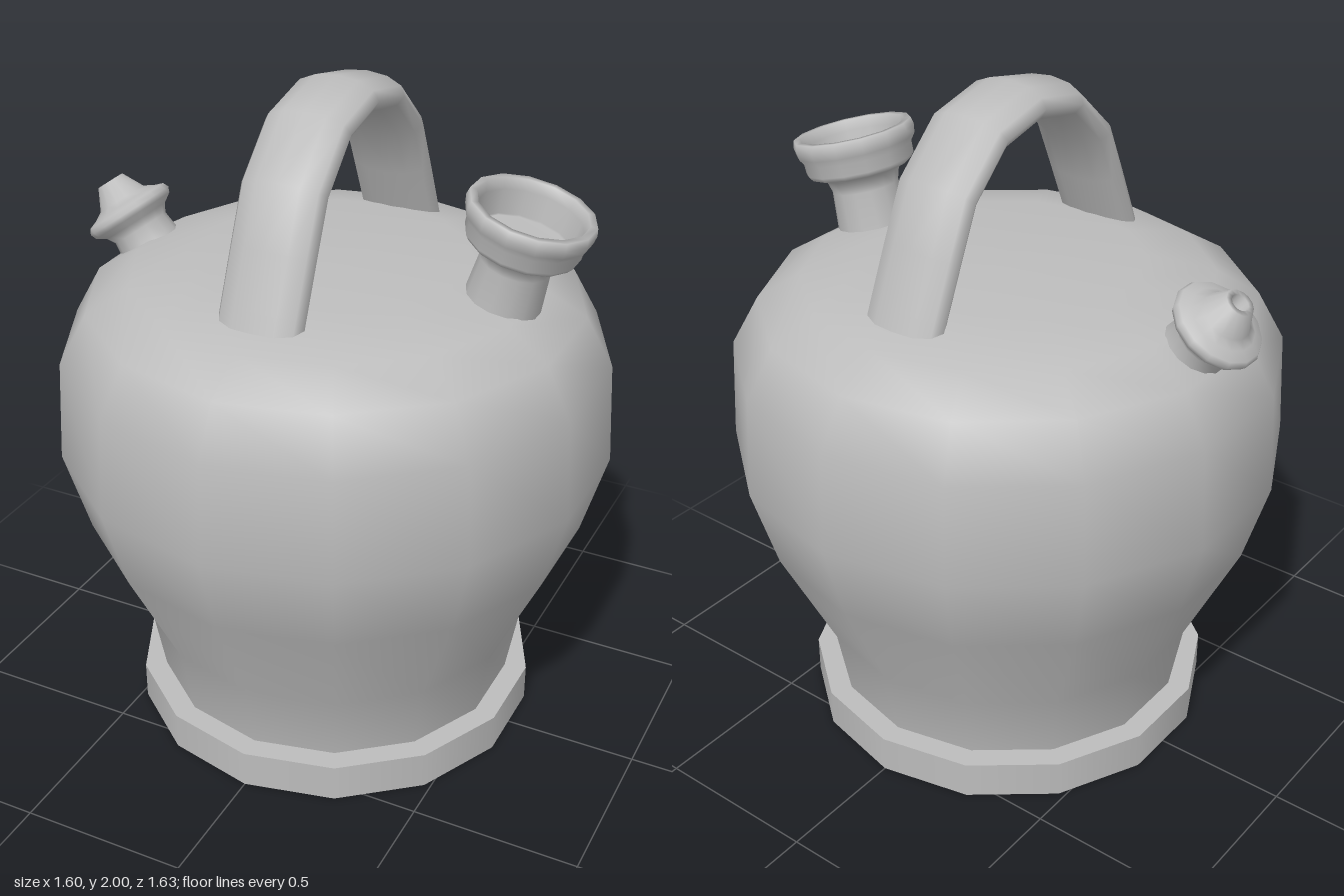
import * as THREE from 'three';

const clay = new THREE.MeshStandardMaterial({ color: 0xbcbcbc });
clay.name = 'grey clay';

const SIDES = 14;

function part(name, geometry) {
  const mesh = new THREE.Mesh(geometry, clay);
  mesh.name = name;
  return mesh;
}

// Turned shape from [radius, height] pairs, listed from the bottom up the outside
function turned(name, profile) {
  const points = profile.map(([r, y]) => new THREE.Vector2(r, y));
  return part(name, new THREE.LatheGeometry(points, SIDES));
}

export function createModel() {
  const jug = new THREE.Group();
  jug.name = 'waterJug';

  // Foot disc
  const base = part('base', new THREE.CylinderGeometry(0.615, 0.615, 0.115, SIDES));
  base.position.y = 0.0575;
  jug.add(base);

  // Bulging body with a nearly flat top
  jug.add(turned('body', [
    [0.545, 0.1], [0.585, 0.325], [0.745, 0.66], [0.817, 0.91],
    [0.8, 1.21], [0.72, 1.355], [0.595, 1.43], [0.39, 1.48], [0, 1.482],
  ]));

  // Arched handle: a flattened tube with one ring at each path point
  const half = [[0.5, 1.33], [0.437, 1.48], [0.372, 1.63], [0.305, 1.78], [0.168, 1.908]];
  const path = [
    ...half.map(([z, y]) => new THREE.Vector3(0, y, z)),
    new THREE.Vector3(0, 1.945, 0),
    ...half.map(([z, y]) => new THREE.Vector3(0, y, -z)).reverse(),
  ];
  const curve = new THREE.CatmullRomCurve3(path);
  curve.getPointAt = (u, target) => curve.getPoint(u, target);
  curve.getTangentAt = (u, target) => curve.getTangent(u, target);
  const arch = new THREE.TubeGeometry(curve, path.length - 1, 0.055, 12);
  arch.scale(0.128 / 0.055, 1, 1);
  jug.add(part('handle', arch));

  // Wide filling mouth, hollow down to a floor inside the cup
  const mouth = turned('fillingMouth', [
    [0.115, -0.08], [0.11, 0], [0.1, 0.13], [0.112, 0.17], [0.152, 0.185],
    [0.163, 0.2], [0.164, 0.235], [0.178, 0.255], [0.182, 0.28], [0.177, 0.302],
    [0.157, 0.302], [0.15, 0.27], [0.14, 0.2], [0.138, 0.195], [0, 0.195],
  ]);
  mouth.position.set(0.505, 1.43, 0);
  mouth.rotation.z = -0.255;
  jug.add(mouth);

  // Small drinking spout with a flange and a drilled tip
  const spout = turned('drinkingSpout', [
    [0.1, -0.07], [0.094, 0], [0.088, 0.05], [0.103, 0.075], [0.13, 0.093],
    [0.137, 0.11], [0.129, 0.126], [0.1, 0.137], [0.075, 0.152], [0.042, 0.215],
    [0.026, 0.215], [0.022, 0.16], [0, 0.16],
  ]);
  spout.position.set(-0.625, 1.39, 0);
  spout.rotation.z = 0.63;
  jug.add(spout);

  return jug;
}
